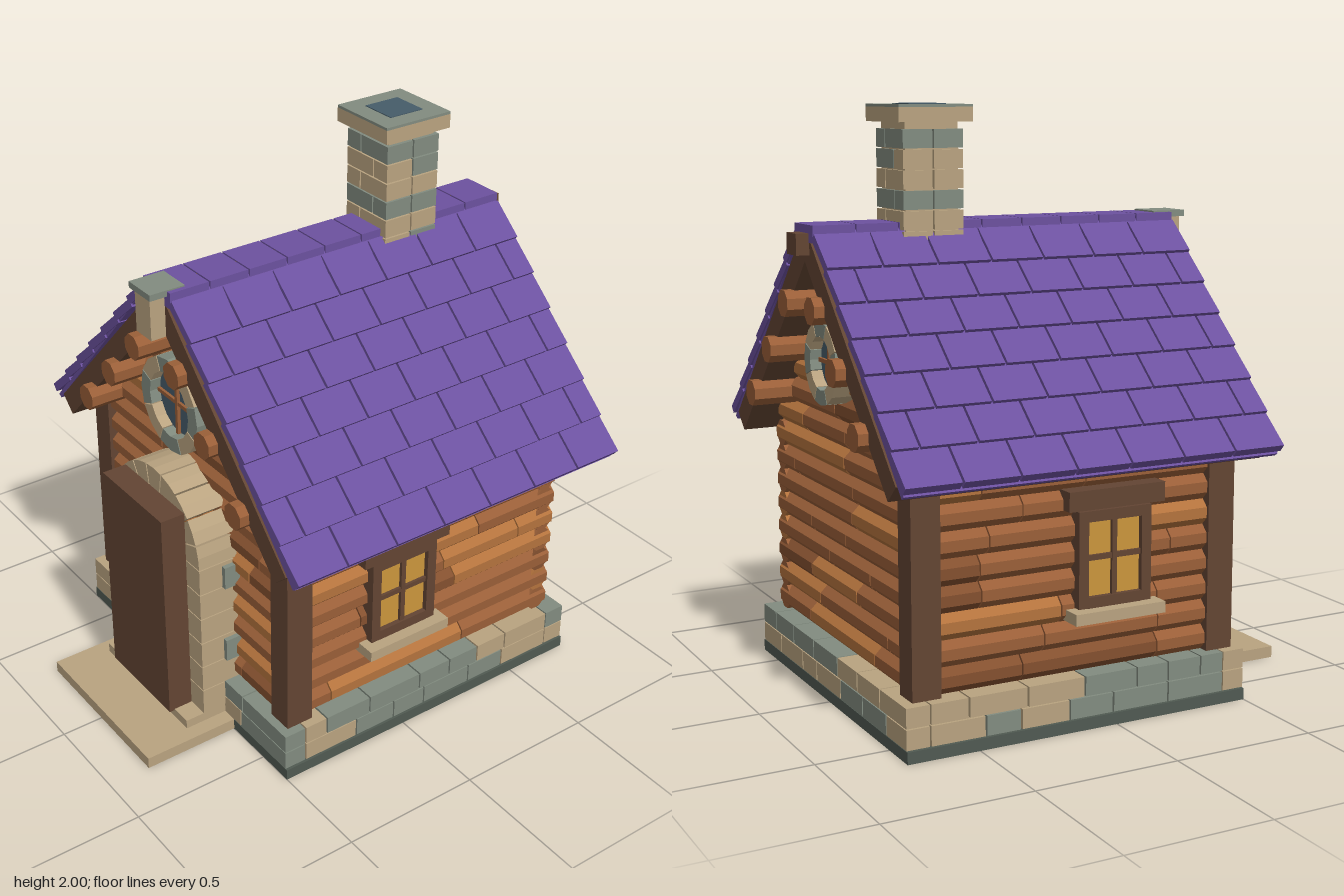
import * as THREE from 'three';

const mat = (name, color) => {
  const m = new THREE.MeshStandardMaterial({ color, flatShading: true });
  m.name = name;
  return m;
};

export function createModel() {
  const M = {
    purple: mat('roof purple', 0x6c519f),
    tan: mat('tan stone', 0xb9a380),
    grey: mat('grey stone', 0x828c80),
    slab: mat('dark slab', 0x505a52),
    timber: mat('dark timber', 0x634533),
    log: mat('log brown', 0x9a5f38),
    logLight: mat('light log', 0xb4733d),
    logDark: mat('dark log', 0x84502f),
    gold: mat('lit window', 0xcb963c),
    glass: mat('dark glass', 0x465c69),
  };
  const root = new THREE.Group();
  root.name = 'cottage';
  let seed = 7;
  const rnd = () => (seed = (seed * 16807) % 2147483647) / 2147483647;

  const group = (name, parent = root) => {
    const g = new THREE.Group();
    g.name = name;
    parent.add(g);
    return g;
  };
  const add = (parent, name, geo, m) => {
    const mesh = new THREE.Mesh(geo, m);
    mesh.name = name;
    parent.add(mesh);
    return mesh;
  };
  // Box given by its limits on each axis
  const box = (parent, name, m, x0, x1, y0, y1, z0, z1) => {
    const b = add(parent, name, new THREE.BoxGeometry(x1 - x0, y1 - y0, z1 - z0), m);
    b.position.set((x0 + x1) / 2, (y0 + y1) / 2, (z0 + z1) / 2);
    return b;
  };
  // Outline in x and y, extruded from z0 to z1
  const prism = (parent, name, m, pts, z0, z1) => {
    const s = new THREE.Shape(pts.map(([x, y]) => new THREE.Vector2(x, y)));
    const g = new THREE.ExtrudeGeometry(s, { depth: z1 - z0, bevelEnabled: false });
    return add(parent, name, g.translate(0, 0, z0), m);
  };
  // Wedge stone of an arch or ring
  const wedge = (parent, m, cy, r0, r1, a0, a1, z0, z1) => {
    const p = (r, a) => [r * Math.cos(a), cy + r * Math.sin(a)];
    const am = (a0 + a1) / 2;
    prism(parent, 'wedgeStone', m, [p(r0, a0), p(r1, a0), p(r1, am), p(r1, a1), p(r0, a1), p(r0, am)], z0, z1);
  };

  // Ground slab, foundation stones and steps
  const base = group('foundation');
  box(base, 'groundSlab', M.slab, -0.64, 0.64, 0, 0.04, -0.75, 0.5);
  box(base, 'mortarCore', M.slab, -0.61, 0.61, 0.04, 0.172, -0.73, 0.48);
  const stones = (a, b, row, place) => {
    let p = a;
    while (p < b - 0.01) {
      let q = p + 0.12 + rnd() * 0.1;
      if (q > b - 0.08) q = b;
      place(p + 0.003, q - 0.003, 0.042 + row * 0.07, 0.108 + row * 0.07, rnd() < 0.5 ? M.grey : M.tan);
      p = q;
    }
  };
  for (const row of [0, 1]) {
    for (const [z0, z1] of [[0.42, 0.5], [-0.75, -0.67]])
      stones(-0.635, 0.635, row, (p, q, y0, y1, m) => box(base, 'stone', m, p, q, y0, y1, z0, z1));
    for (const [x0, x1] of [[0.55, 0.633], [-0.633, -0.55]])
      stones(-0.668, 0.418, row, (p, q, y0, y1, m) => box(base, 'stone', m, x0, x1, y0, y1, p, q));
  }
  box(base, 'lowerStep', M.tan, -0.32, 0.32, 0.001, 0.042, 0.45, 0.85);
  box(base, 'upperStep', M.tan, -0.265, 0.265, 0.042, 0.075, 0.45, 0.66);

  // Log walls
  const walls = group('walls');
  prism(walls, 'wallCore', M.logDark,
    [[-0.56, 0.17], [0.56, 0.17], [0.56, 0.9], [0, 1.48], [-0.56, 0.9]], -0.67, 0.43);
  const H = 0.0867, R = H / 2 / Math.cos(Math.PI / 8);
  const logGeo = (len) => new THREE.CylinderGeometry(R, R, len, 8, 1, false, Math.PI / 8);
  const logRow = (a, b, y, place) => {
    const cuts = [a];
    for (let p = a + 0.15 + rnd() * 0.4; p < b - 0.15; p += 0.3 + rnd() * 0.3) cuts.push(p);
    cuts.push(b);
    for (let i = 0; i + 1 < cuts.length; i++) {
      const r = rnd();
      const m = r < 0.2 ? M.logLight : r < 0.35 ? M.logDark : M.log;
      place(add(walls, 'log', logGeo(cuts[i + 1] - cuts[i] - 0.005), m), (cuts[i] + cuts[i + 1]) / 2, y);
    }
  };
  for (let i = 0; i < 15; i++) {
    const y = 0.18 + (i + 0.5) * H;
    const half = Math.min(0.585, (1.5 - y) / 1.035);
    for (const z of [0.415, -0.66])
      logRow(-half, half, y, (l, c) => { l.rotation.z = Math.PI / 2; l.position.set(c, y, z); });
    if (i < 8) for (const x of [0.548, -0.548])
      logRow(-0.7, 0.45, y, (l, c) => { l.rotation.x = Math.PI / 2; l.position.set(x, y, c); });
  }
  for (const [x, z] of [[0.555, 0.42], [-0.555, 0.42], [-0.555, -0.665]])
    box(walls, 'cornerPost', M.timber, x - 0.047, x + 0.047, 0.18, 0.93, z - 0.05, z + 0.05);

  // Roof: timber deck, underlay, shingles, ridge and purlins
  const roof = group('roof');
  const K = 1.035, slope = Math.atan(K);
  const chevron = (xe, y0, y1, drop) => {
    const e = [xe, y1 - K * xe], f = [xe - drop, y0 - K * (xe - drop)];
    return [[0, y1], [-e[0], e[1]], [-f[0], f[1]], [0, y0], f, e].reverse();
  };
  prism(roof, 'roofDeck', M.timber, chevron(0.7, 1.497, 1.615, 0.06), -0.805, 0.545);
  const under = [[0.07, 1.58], [0.73, 1.615 - K * 0.73], [0.745, 1.64 - K * 0.745], [0.07, 1.6]];
  for (const s of [1, -1]) {
    const pts = under.map(([x, y]) => [x * s, y]);
    prism(roof, 'underlay', M.purple, s > 0 ? pts : pts.reverse(), -0.8, 0.54);
    const N = 7, w = 1.36 / 7;
    for (let r = 0; r < N; r++) {
      const x = 0.085 + (r + 0.5) * 0.0955;
      const shift = r % 2 ? -w / 2 : 0;
      for (let k = 0; k < N + (r % 2); k++) {
        const z0 = Math.max(-0.81, -0.81 + k * w + shift), z1 = Math.min(0.55, -0.81 + (k + 1) * w + shift);
        const t = add(roof, 'shingle', new THREE.BoxGeometry(0.148, 0.03, z1 - z0 - 0.008), M.purple);
        t.position.set(s * x, 1.668 - K * x, (z0 + z1) / 2);
        t.rotation.z = -s * (slope - 0.09);
      }
    }
    for (const [x, y] of [[0.12, 1.35], [0.29, 1.175], [0.46, 1.0]]) {
      const l = add(roof, 'purlin', logGeo(1.42), M.log);
      l.rotation.x = Math.PI / 2;
      l.position.set(s * x, y, -0.13);
    }
  }
  for (let i = 0; i < 9; i++) {
    const z = -0.81 + i * 0.151;
    box(roof, 'ridgeCap', M.purple, -0.08, 0.08, 1.56, 1.617, z + 0.003, z + 0.148);
  }
  box(roof, 'ridgeBeam', M.timber, -0.042, 0.042, 1.52, 1.59, -0.85, 0.5);
  box(roof, 'gableStone', M.tan, -0.045, 0.045, 1.45, 1.6, 0.5, 0.6);
  box(roof, 'gableStoneCap', M.grey, -0.063, 0.063, 1.6, 1.622, 0.48, 0.61);

  // Chimney: courses of four stones round a core
  const chimney = group('chimney');
  chimney.position.z = -0.395;
  box(chimney, 'chimneyCore', M.tan, -0.095, 0.095, 1.35, 1.95, -0.095, 0.095);
  for (let i = 0; i < 7; i++) {
    const y0 = 1.46 + i * 0.066, y1 = y0 + 0.061, o = i % 2 ? 0.035 : -0.035;
    const [a, b] = i === 3 || i === 6 ? [M.grey, M.grey] : i % 2 ? [M.tan, M.grey] : [M.tan, M.tan];
    for (const s of [1, -1]) {
      const [z0, z1] = s > 0 ? [0.003, 0.108] : [-0.108, -0.003];
      box(chimney, 'chimneyStone', a, -0.108, s * o - 0.003, y0, y1, z0, z1);
      box(chimney, 'chimneyStone', s > 0 ? a : b, s * o + 0.003, 0.108, y0, y1, z0, z1);
    }
  }
  box(chimney, 'chimneyCap', M.tan, -0.133, 0.133, 1.94, 1.988, -0.133, 0.133);
  box(chimney, 'capTop', M.grey, -0.133, 0.133, 1.988, 1.997, -0.133, 0.133);
  box(chimney, 'flue', M.glass, -0.067, 0.067, 1.99, 2.0, -0.067, 0.067);

  // Door with stone jambs and arch
  const door = group('door');
  box(door, 'doorLeaf', M.timber, -0.187, 0.187, 0.07, 0.867, 0.59, 0.68);
  for (const s of [1, -1]) for (let i = 0; i < 6; i++) {
    const y = 0.075 + i * 0.101, [x0, x1] = s > 0 ? [0.187, 0.268] : [-0.268, -0.187];
    box(door, 'jambStone', M.tan, x0, x1, y + 0.002, y + 0.099, 0.44, 0.59);
    if (i % 3 === 2) box(door, 'jambKey', M.grey, s > 0 ? 0.25 : -0.285, s > 0 ? 0.285 : -0.25, y, y + 0.085, 0.44, 0.5);
  }
  for (let i = 0; i < 9; i++) {
    const a = (i * Math.PI) / 9;
    wedge(door, M.tan, 0.68, 0.187, 0.268, a + 0.012, a + Math.PI / 9 - 0.012, 0.44, 0.59);
  }

  // Round gable windows
  const roundWindow = (name, cy, r0, r1, z, turn) => {
    const g = group(name);
    for (let i = 0; i < 8; i++) {
      const a = ((i - 0.5) * Math.PI) / 4;
      wedge(g, i % 2 ? M.tan : M.grey, cy, r0, r1, a + 0.015, a + Math.PI / 4 - 0.015, 0, 0.09);
    }
    const pane = add(g, 'pane', new THREE.CylinderGeometry(r0 + 0.01, r0 + 0.01, 0.05, 24), M.glass);
    pane.rotation.x = Math.PI / 2;
    pane.position.set(0, cy, 0.025);
    box(g, 'mullion', M.log, -0.007, 0.007, cy - r0, cy + r0, 0.045, 0.062);
    box(g, 'crossbar', M.log, -r0, r0, cy - 0.007, cy + 0.007, 0.045, 0.06);
    g.position.z = z;
    g.rotation.y = turn;
  };
  roundWindow('frontRoundWindow', 1.165, 0.118, 0.172, 0.43, 0);
  roundWindow('backRoundWindow', 1.16, 0.09, 0.14, -0.67, Math.PI);

  // Side windows, built facing +z and turned outwards
  for (const s of [1, -1]) {
    const g = group(s > 0 ? 'leftWindow' : 'rightWindow');
    box(g, 'pane', M.gold, -0.1, 0.1, 0.43, 0.69, 0.596, 0.602);
    for (const x of [-0.117, 0.117]) box(g, 'frameSide', M.timber, x - 0.018, x + 0.018, 0.4, 0.72, 0.56, 0.62);
    for (const y of [0.417, 0.702]) box(g, 'frameRail', M.timber, -0.1, 0.1, y - 0.018, y + 0.018, 0.56, 0.62);
    box(g, 'mullion', M.timber, -0.009, 0.009, 0.43, 0.69, 0.6, 0.614);
    box(g, 'crossbar', M.timber, -0.1, 0.1, 0.555, 0.573, 0.6, 0.612);
    box(g, 'lintel', M.timber, -0.178, 0.178, 0.727, 0.792, 0.56, 0.632);
    box(g, 'sill', M.tan, -0.167, 0.167, 0.36, 0.398, 0.56, 0.66);
    g.rotation.y = (s * Math.PI) / 2;
  }
  return root;
}
